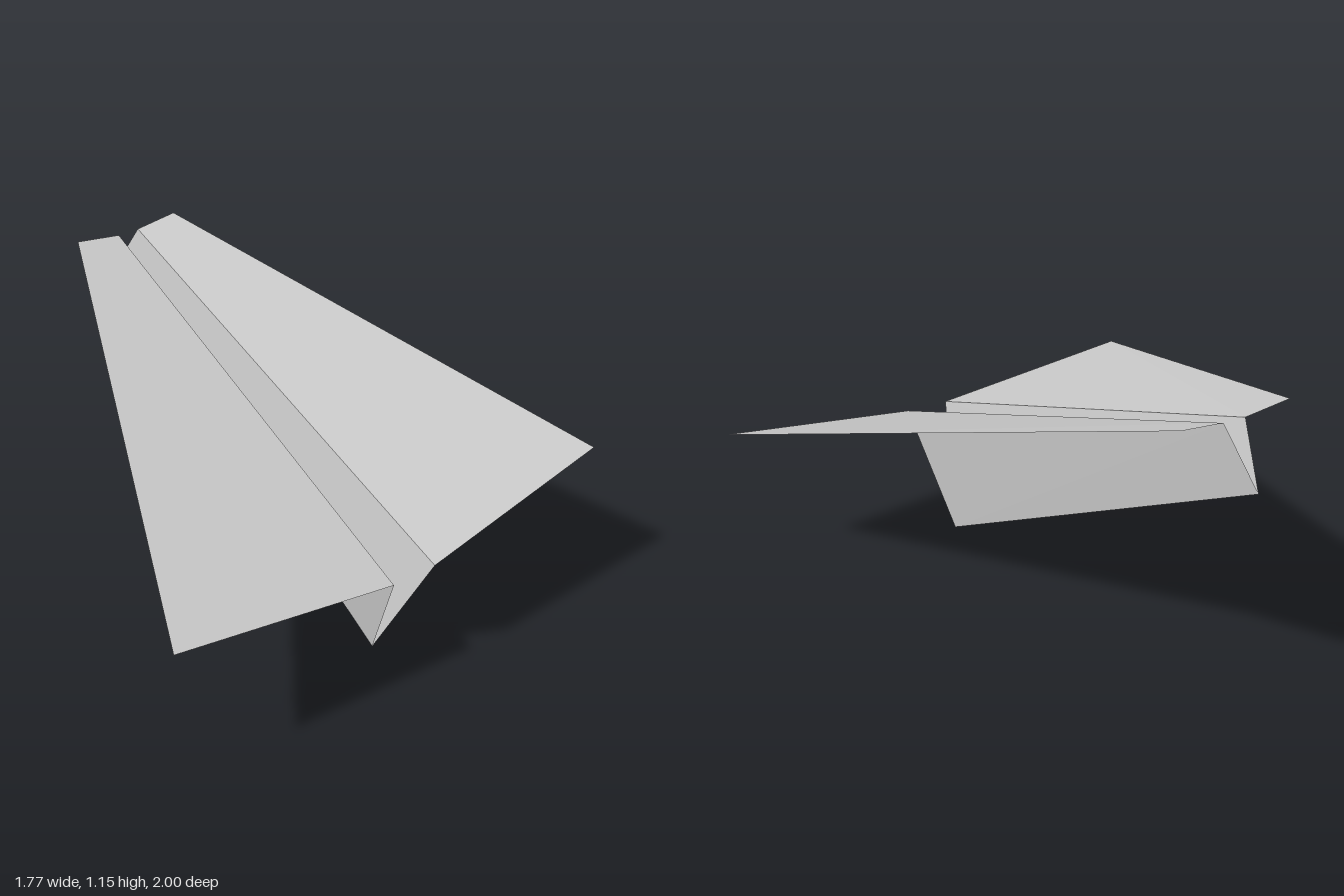
import * as THREE from 'three';

const paper = new THREE.MeshStandardMaterial({ color: 0xcccccc, flatShading: true, side: THREE.DoubleSide });
paper.name = 'grey paper';

// One folded sheet panel, corners in counter-clockwise order seen from its front
function panel(name, corners) {
  const geometry = new THREE.BufferGeometry();
  geometry.setAttribute('position', new THREE.Float32BufferAttribute(corners.flat(), 3));
  geometry.setIndex([0, 1, 2, 0, 2, 3]);
  geometry.computeVertexNormals();
  const mesh = new THREE.Mesh(geometry, paper);
  mesh.name = name;
  return mesh;
}

export function createModel() {
  const group = new THREE.Group();
  group.name = 'paperPlane';

  // Bottom fold shared by both keel panels
  const keelNose = [-0.755, 0.94, -1.0];
  const keelTail = [0.03, 0.0, 0.4];

  // Each side: inner fold from nose to tail, then the outer edge
  const right = {
    noseIn: [-0.735, 1.12, -0.86], tailIn: [0.05, 0.445, 0.65],
    tailOut: [-0.685, 0.53, 0.995], noseOut: [-0.89, 1.135, -0.78],
  };
  const left = {
    noseIn: [-0.66, 1.125, -0.9], tailIn: [0.205, 0.45, 0.57],
    tailOut: [0.885, 0.595, 0.15], noseOut: [-0.515, 1.15, -0.985],
  };

  // Wings
  group.add(panel('rightWing', [right.noseIn, right.noseOut, right.tailOut, right.tailIn]));
  group.add(panel('leftWing', [left.noseIn, left.tailIn, left.tailOut, left.noseOut]));

  // Keel panels meeting in a V, outer faces forward
  group.add(panel('rightKeel', [keelNose, keelTail, right.tailIn, right.noseIn]));
  group.add(panel('leftKeel', [keelTail, keelNose, left.noseIn, left.tailIn]));

  return group;
}
